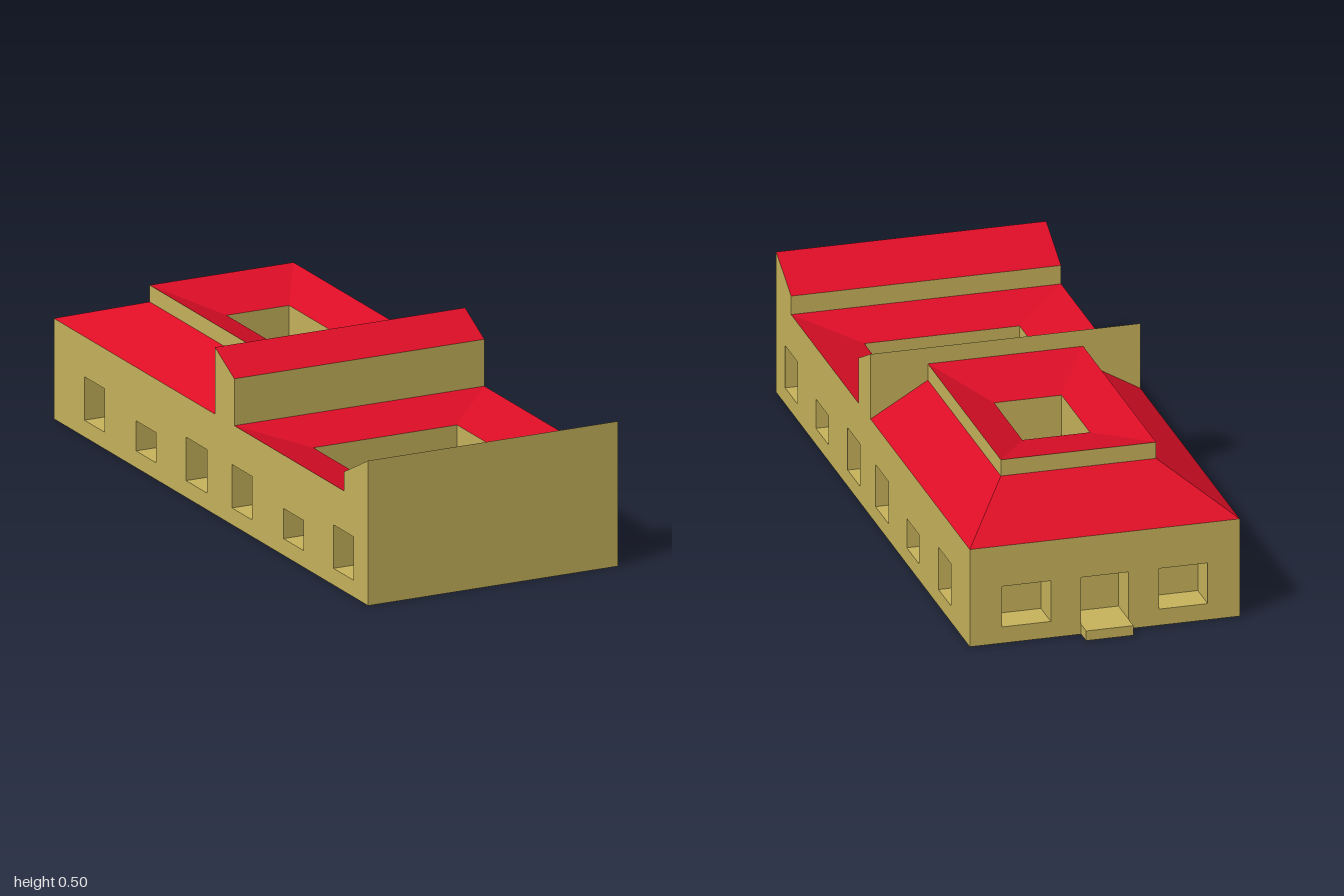
import * as THREE from 'three';

const HALF = 0.4;      // half width of the building
const EAVE = 0.3;      // top of the side walls
const RECESS = 0.1;    // depth of window openings

export function createModel() {
  const model = new THREE.Group();
  model.name = 'courtyardHouse';
  const plaster = new THREE.MeshStandardMaterial({ color: 0xc9b55d, side: THREE.DoubleSide });
  plaster.name = 'sandPlaster';
  const tile = new THREE.MeshStandardMaterial({ color: 0xdd0e26, side: THREE.DoubleSide });
  tile.name = 'redRoof';

  const add = (name, geometry, material, parent = model) => {
    const mesh = new THREE.Mesh(geometry, material);
    mesh.name = name;
    parent.add(mesh);
    return mesh;
  };

  // Flat quads, corners counter-clockwise from the visible side
  const quads = (list) => {
    const pos = list.flatMap(([a, b, c, d]) => [a, b, c, a, c, d].flat());
    const g = new THREE.BufferGeometry();
    g.setAttribute('position', new THREE.Float32BufferAttribute(pos, 3));
    g.computeVertexNormals();
    return g;
  };
  // Band of quads between two four-cornered loops; sides picks which to build
  const ring = (a, b, sides = [0, 1, 2, 3]) =>
    sides.map((i) => [a[i], a[(i + 1) % 4], b[(i + 1) % 4], b[i]]);
  // Level rectangle: front, right, back, left sides in that order
  const level = (x, back, front, y) =>
    [[-x, y, front], [x, y, front], [x, y, back], [-x, y, back]];

  // Upright wall with recessed openings [u0, u1, y0, y1], facing local +z
  const wall = (name, outline, openings) => {
    const group = new THREE.Group();
    group.name = name;
    const shape = new THREE.Shape(outline.map(([u, y]) => new THREE.Vector2(u, y)));
    const recesses = [];
    for (const [u0, u1, y0, y1] of openings) {
      const rect = (z) => [[u0, y0, z], [u1, y0, z], [u1, y1, z], [u0, y1, z]];
      shape.holes.push(new THREE.Path(rect(0).map(([u, y]) => new THREE.Vector2(u, y))));
      recesses.push(...ring(rect(0), rect(-RECESS)), rect(-RECESS));
    }
    add(name + 'Face', new THREE.ShapeGeometry(shape), plaster, group);
    add(name + 'Openings', quads(recesses), plaster, group);
    model.add(group);
    return group;
  };

  // Side walls, with the gable ends of the front and middle ranges
  const profile = [
    [1, 0], [1, 0.433], [0.85, 0.357], [0.85, EAVE], [0.17, EAVE], [0.17, 0.44],
    [0.05, 0.5], [0.05, EAVE], [-0.95, EAVE], [-0.95, 0],
  ];
  const windows = [
    [0.785, 0.91, 0.18], [0.475, 0.6, 0.14], [0.155, 0.28, 0.18],
    [-0.13, 0, 0.18], [-0.44, -0.315, 0.14], [-0.76, -0.635, 0.18],
  ];
  for (const s of [1, -1]) {
    const side = wall(
      s > 0 ? 'leftWall' : 'rightWall',
      profile.map(([z, y]) => [-s * z, y]),
      windows.map(([a, b, top]) => (s > 0 ? [-b, -a, 0.05, top] : [a, b, 0.05, top])),
    );
    side.rotation.y = s * Math.PI / 2;
    side.position.x = s * HALF;
  }

  // Back wall with two windows and a doorway
  const backWall = wall('backWall',
    [[-HALF, 0], [HALF, 0], [HALF, EAVE], [-HALF, EAVE]],
    [[-0.305, -0.16, 0.05, 0.175], [-0.07, 0.07, 0.03, 0.175], [0.16, 0.305, 0.05, 0.175]]);
  backWall.rotation.y = Math.PI;
  backWall.position.z = -0.95;

  const step = add('doorStep', new THREE.BoxGeometry(0.14, 0.03, 0.05), plaster);
  step.position.set(0, 0.015, -0.975);

  // Full-width faces running from one profile point (z, y) to the next
  const across = ([z0, y0], [z1, y1]) =>
    [[-HALF, y0, z0], [HALF, y0, z0], [HALF, y1, z1], [-HALF, y1, z1]];
  const p = profile;
  add('crossWalls', quads([
    across(p[0], p[1]), across(p[2], p[3]), across(p[4], p[5]), across(p[6], p[7]),
  ]), plaster);
  add('underside', quads([across(p[9], p[0])]), plaster);
  add('frontRoof', quads([across(p[1], p[2])]), tile);
  add('middleRoof', quads([across(p[5], p[6])]), tile);

  // Front courtyard: roof falling inwards, walls and floor
  const frontEdge = level(0.23, 0.33, 0.69, 0.255);
  const frontFloor = level(0.23, 0.33, 0.69, 0.1);
  add('frontCourtRoof', quads(ring(level(HALF, 0.17, 0.85, EAVE), frontEdge)), tile);
  add('frontCourtWalls', quads(ring(frontEdge, frontFloor)), plaster);
  add('frontCourtFloor', quads([frontFloor]), plaster);

  // Rear range: outer roof, raised rim, inner roof and small courtyard
  const rimBase = level(0.23, -0.685, 0.05, 0.4);
  const rimTop = level(0.23, -0.685, 0.05, 0.45);
  const rearEdge = level(0.1, -0.46, -0.175, 0.405);
  const rearFloor = level(0.1, -0.46, -0.175, 0.1);
  add('rearOuterRoof', quads(ring(level(HALF, -0.95, 0.05, EAVE), rimBase, [1, 2, 3])), tile);
  add('rearRim', quads(ring(rimBase, rimTop, [1, 2, 3])), plaster);
  add('rearInnerRoof', quads(ring(rimTop, rearEdge)), tile);
  add('rearCourtWalls', quads(ring(rearEdge, rearFloor)), plaster);
  add('rearCourtFloor', quads([rearFloor]), plaster);

  return model;
}
